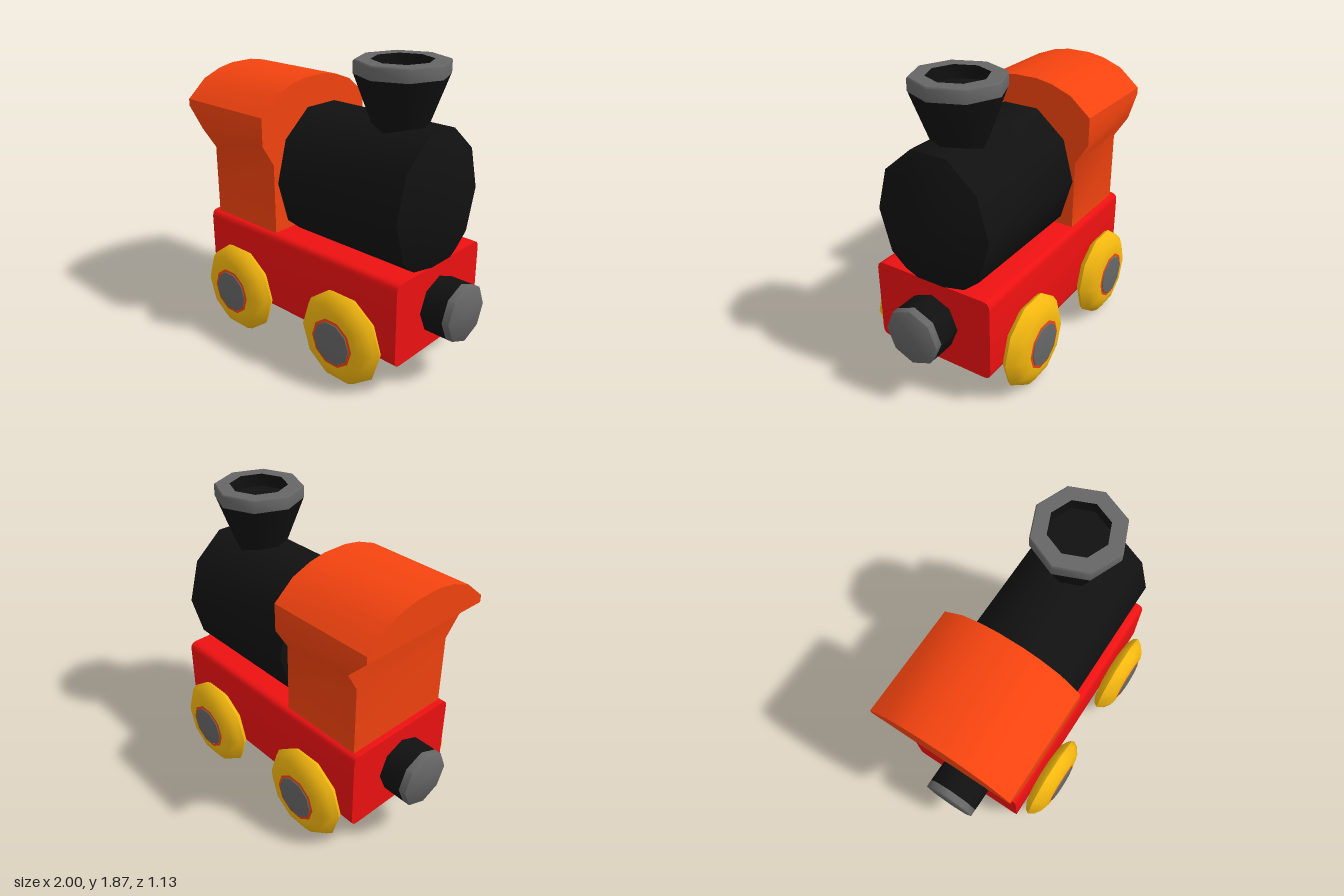
import * as THREE from 'three';
import { toCreasedNormals } from 'three/addons/utils/BufferGeometryUtils.js';

const material = (color) => new THREE.MeshStandardMaterial({ color });
const RED = material(0xee1111);
const ORANGE = material(0xf4430f);
const YELLOW = material(0xf5b80f);
const BLACK = material(0x111111);
const GREY = material(0x666666);

function addMesh(parent, name, geometry, mat) {
  const mesh = new THREE.Mesh(geometry, mat);
  mesh.name = name;
  parent.add(mesh);
  return mesh;
}

// Turned part about y from [radius, height] pairs
function turned(profile, sides, crease = 0.85) {
  const points = profile.map(([r, h]) => new THREE.Vector2(r, h));
  const lathe = new THREE.LatheGeometry(points, sides, Math.PI / 2);
  return toCreasedNormals(lathe, crease);
}

// Box-shaped chassis with rounded long edges
function chassisGeometry() {
  const w = 0.405, y0 = 0.2, y1 = 0.73, r = 0.045;
  const s = new THREE.Shape();
  s.moveTo(-w + r, y0);
  s.lineTo(w - r, y0);
  s.quadraticCurveTo(w, y0, w, y0 + r);
  s.lineTo(w, y1 - r);
  s.quadraticCurveTo(w, y1, w - r, y1);
  s.lineTo(-w + r, y1);
  s.quadraticCurveTo(-w, y1, -w, y1 - r);
  s.lineTo(-w, y0 + r);
  s.quadraticCurveTo(-w, y0, -w + r, y0);
  const g = new THREE.ExtrudeGeometry(s, { depth: 1.6, bevelEnabled: false, curveSegments: 3 });
  g.translate(0, 0, -0.8).rotateY(Math.PI / 2);
  return toCreasedNormals(g, 0.7);
}

// Cab lofted from rectangles: [height, back x, half width]
function cabGeometry() {
  const front = -0.2;
  const rows = [
    [0.72, -0.76, 0.37], [1.18, -0.76, 0.37], [1.32, -0.775, 0.455],
    [1.45, -0.9, 0.455], [1.495, -0.9, 0.455], [1.61, -0.9, 0.32],
    [1.66, -0.9, 0.19], [1.68, -0.9, 0.08],
  ];
  const positions = [], index = [];
  for (const [y, back, w] of rows) {
    positions.push(back, y, w, front, y, w, front, y, -w, back, y, -w);
  }
  for (let i = 0; i < rows.length - 1; i++) {
    for (let k = 0; k < 4; k++) {
      const a = i * 4 + k, b = i * 4 + (k + 1) % 4;
      index.push(a, b, b + 4, a, b + 4, a + 4);
    }
  }
  const t = (rows.length - 1) * 4;
  index.push(t, t + 1, t + 2, t, t + 2, t + 3, 0, 2, 1, 0, 3, 2);
  const g = new THREE.BufferGeometry();
  g.setAttribute('position', new THREE.Float32BufferAttribute(positions, 3));
  g.setIndex(index);
  return toCreasedNormals(g, 0.6);
}

// Wheel facing +z, with an orange ring and a grey hub cap
function createWheel(name) {
  const wheel = new THREE.Group();
  wheel.name = name;
  const tyre = [[0, 0.41], [0.17, 0.41], [0.24, 0.42], [0.285, 0.445], [0.3, 0.47],
    [0.28, 0.505], [0.235, 0.537], [0.19, 0.551], [0.155, 0.553]];
  const ring = [[0.155, 0.553], [0.138, 0.555]];
  const hub = [[0.138, 0.553], [0.135, 0.56], [0.09, 0.566], [0, 0.562]];
  addMesh(wheel, 'tyre', turned(tyre, 10, 1).rotateX(Math.PI / 2), YELLOW);
  addMesh(wheel, 'hubRing', turned(ring, 10).rotateX(Math.PI / 2), ORANGE);
  addMesh(wheel, 'hubCap', turned(hub, 10, 1).rotateX(Math.PI / 2), GREY);
  return wheel;
}

// Round coupler pointing along +x
function createCoupler(name) {
  const coupler = new THREE.Group();
  coupler.name = name;
  const stem = [[0.18, 0.78], [0.18, 0.95]];
  const plate = [[0.18, 0.95], [0.18, 0.995], [0.175, 1], [0, 1]];
  addMesh(coupler, 'couplerStem', turned(stem, 8).rotateZ(-Math.PI / 2), BLACK);
  addMesh(coupler, 'couplerPlate', turned(plate, 8).rotateZ(-Math.PI / 2), GREY);
  coupler.position.y = 0.46;
  return coupler;
}

// Ten-sided boiler along x with shallow domed ends, slightly taller than wide
function boilerGeometry() {
  const profile = [[0, -0.185], [0.75, -0.172], [1, -0.15], [1, 0.765], [0.68, 0.83], [0, 0.875]];
  const g = turned(profile, 10);
  g.rotateZ(-Math.PI / 2).rotateX(Math.PI / 2).scale(1, 0.45, 0.385);
  return toCreasedNormals(g, 0.85);
}

export function createModel() {
  const train = new THREE.Group();
  train.name = 'toyTrain';

  addMesh(train, 'chassis', chassisGeometry(), RED);
  addMesh(train, 'cab', cabGeometry(), ORANGE);
  addMesh(train, 'boiler', boilerGeometry(), BLACK).position.y = 1.08;

  // Funnel with a hollow grey rim
  const funnel = new THREE.Group();
  funnel.name = 'funnel';
  const rim = [[0.18, 1.79], [0.277, 1.79], [0.277, 1.862], [0.27, 1.87], [0.18, 1.87]];
  const hole = [[0.18, 1.87], [0.18, 1.79], [0, 1.79]];
  addMesh(funnel, 'funnelCone', turned([[0.13, 1.4], [0.275, 1.79]], 8), BLACK);
  addMesh(funnel, 'funnelRim', turned(rim, 8), GREY);
  addMesh(funnel, 'funnelHole', turned(hole, 8), BLACK);
  funnel.position.x = 0.478;
  train.add(funnel);

  // Wheels and couplers, mirrored by half turns
  for (const [end, x] of [['rear', -0.46], ['front', 0.445]]) {
    for (const [side, turn] of [['Left', 0], ['Right', Math.PI]]) {
      const wheel = createWheel(end + side + 'Wheel');
      wheel.position.set(x, 0.285, 0);
      wheel.rotation.y = turn;
      train.add(wheel);
    }
    const coupler = createCoupler(end + 'Coupler');
    if (end === 'rear') coupler.rotation.y = Math.PI;
    train.add(coupler);
  }
  return train;
}
